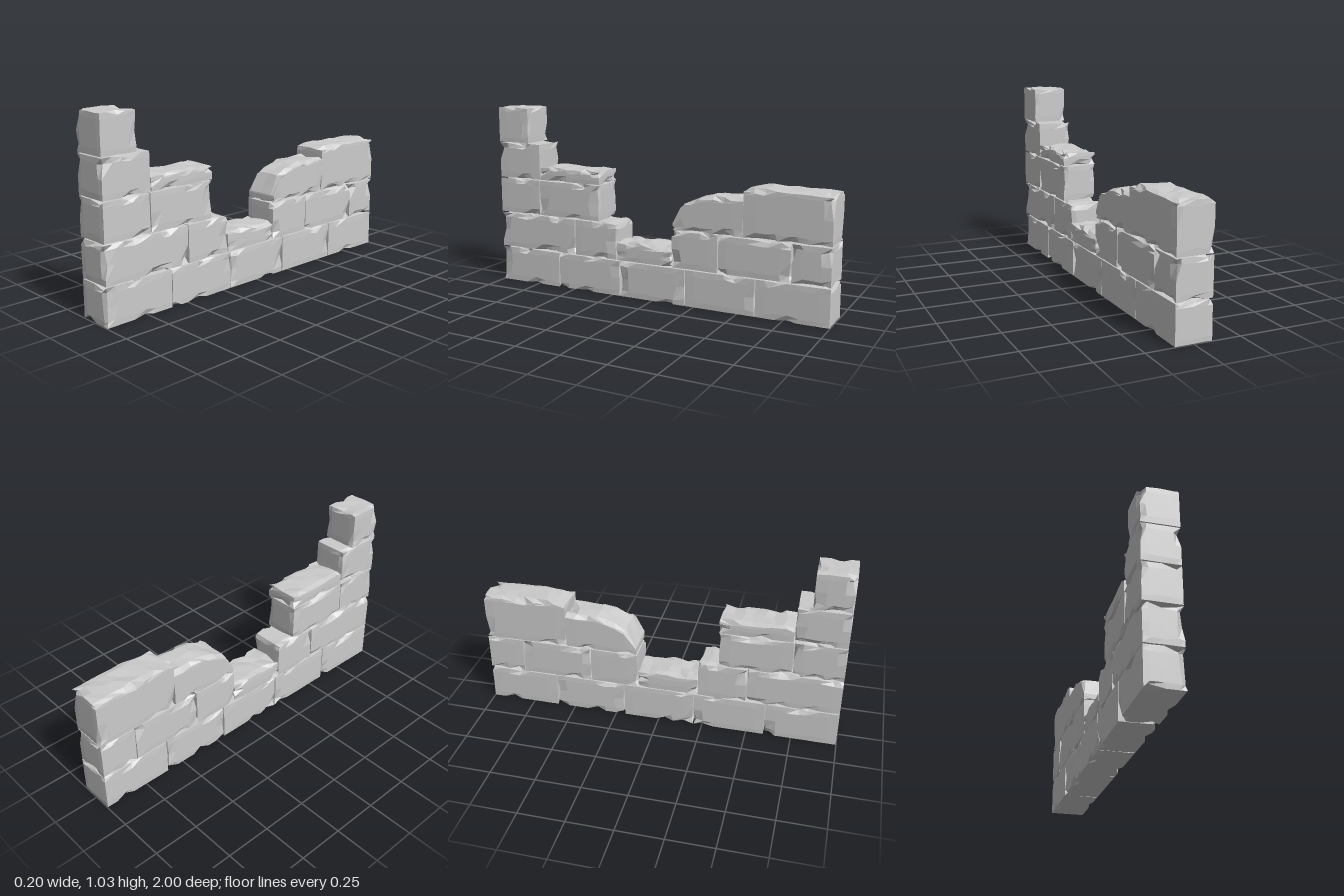
import * as THREE from 'three';

const THICKNESS = 0.2;
const GAP = 0.003;
const material = new THREE.MeshStandardMaterial({ color: 0xcccccc, flatShading: true });

// Repeatable noise from a position, so vertices shared by two faces move together
function hash(x, y, z, seed) {
  const q = (v) => Math.round(v * 1000);
  const s = Math.sin(q(x) * 12.9898 + q(y) * 78.233 + q(z) * 37.719 + seed * 4.581) * 43758.5453;
  return s - Math.floor(s);
}

// Linear interpolation along a list of [z, y] points with falling z
function heightAt(profile, z) {
  if (z >= profile[0][0]) return profile[0][1];
  for (let i = 1; i < profile.length; i++) {
    const [za, ya] = profile[i - 1], [zb, yb] = profile[i];
    if (z >= zb) return ya + (yb - ya) * (za - z) / (za - zb);
  }
  return profile[profile.length - 1][1];
}

// A stone block with chipped edges; an exposed top may be worn and follow a profile
function stone({ name, z, y, worn = 0, profile, bevel = 0 }, seed) {
  const size = [THICKNESS, y[1] - y[0], z[0] - z[1]];
  const center = [0, (y[0] + y[1]) / 2, (z[0] + z[1]) / 2];
  const geo = new THREE.BoxGeometry(...size, 4, 4, Math.max(4, Math.round(size[2] / 0.06)));
  const pos = geo.attributes.position;

  for (let i = 0; i < pos.count; i++) {
    const p = [pos.getX(i), pos.getY(i), pos.getZ(i)];
    const r = (k) => hash(p[0], p[1], p[2], seed * 10 + k);
    const side = p.map((v, a) => (Math.abs(Math.abs(v) - size[a] / 2) < 1e-4 ? Math.sign(v) : 0));
    const onEdge = side.filter((s) => s !== 0).length >= 2;
    const chip = r(1) < 0.27 ? 0.01 + 0.018 * r(2) : 0.002;
    const out = p.map((v, a) => {
      // inner rows move close to the rim so the chips stay shallow
      if (a < 2 && !side[a] && Math.abs(v) > 1e-4) {
        return Math.sign(v) * (size[a] / 2 - 0.025 - 0.015 * r(3 + a));
      }
      if (side[a]) return v - side[a] * (GAP / 2 + (onEdge ? chip * (0.35 + 0.65 * r(5 + a)) : 0));
      // slide free vertices for irregular facets
      return a === 2 ? v + (r(8) - 0.5) * 0.025 : v;
    });

    if (side[1] > 0) {
      out[1] -= worn * r(9);
      if (side[0]) out[1] -= bevel * (0.5 + r(10));
    }
    let wy = out[1] + center[1];
    const wz = out[2] + center[2];
    if (profile) wy = y[0] + (wy - y[0]) * (heightAt(profile, wz) - y[0]) / size[1];
    pos.setXYZ(i, out[0], wy, wz);
  }

  const faceted = geo.toNonIndexed();
  faceted.computeVertexNormals();
  const mesh = new THREE.Mesh(faceted, material);
  mesh.name = name;
  return mesh;
}

export function createModel() {
  const group = new THREE.Group();
  group.name = 'ruinedWall';
  const stones = [];

  // Base course: five equal stones
  for (let i = 0; i < 5; i++) {
    stones.push({ name: `baseStone${i + 1}`, z: [1 - i * 0.4, 0.6 - i * 0.4], y: [0, 0.207] });
  }

  // Second course, with a broken low stone in the gap
  const second = [[1, 0.49], [0.49, 0.22], [-0.12, -0.39], [-0.39, -0.79], [-0.79, -1]];
  second.forEach((z, i) => stones.push({ name: `secondCourseStone${i + 1}`, z, y: [0.207, 0.415] }));
  stones.push({
    name: 'brokenLowStone', z: [0.22, -0.12], y: [0.207, 0.318], worn: 0.012, bevel: 0.004,
  });

  // Front pillar steps
  stones.push({ name: 'pillarStone1', z: [1, 0.725], y: [0.415, 0.621] });
  stones.push({ name: 'pillarStone2', z: [1, 0.72], y: [0.621, 0.828] });
  stones.push({ name: 'pillarTopStone', z: [1, 0.795], y: [0.828, 1.036], worn: 0.006 });

  // Step beside the pillar with its worn cap
  stones.push({ name: 'stepStone', z: [0.725, 0.33], y: [0.415, 0.621] });
  stones.push({
    name: 'stepCap', z: [0.72, 0.325], y: [0.621, 0.71], worn: 0.012, bevel: 0.006,
    profile: [[0.72, 0.7], [0.68, 0.71], [0.4, 0.703], [0.325, 0.706]],
  });

  // Rounded, crumbled stone at the edge of the gap
  stones.push({
    name: 'crumbledStone', z: [-0.125, -0.53], y: [0.415, 0.622], worn: 0.01, bevel: 0.012,
    profile: [[-0.125, 0.45], [-0.15, 0.53], [-0.18, 0.565], [-0.25, 0.592], [-0.34, 0.621], [-0.53, 0.622]],
  });

  // Tall stone at the back end
  stones.push({
    name: 'backTopStone', z: [-0.525, -1], y: [0.415, 0.685], worn: 0.01, bevel: 0.006,
    profile: [[-0.525, 0.665], [-0.55, 0.685], [-0.8, 0.682], [-1, 0.678]],
  });

  stones.forEach((s, i) => group.add(stone(s, i + 1)));
  return group;
}
